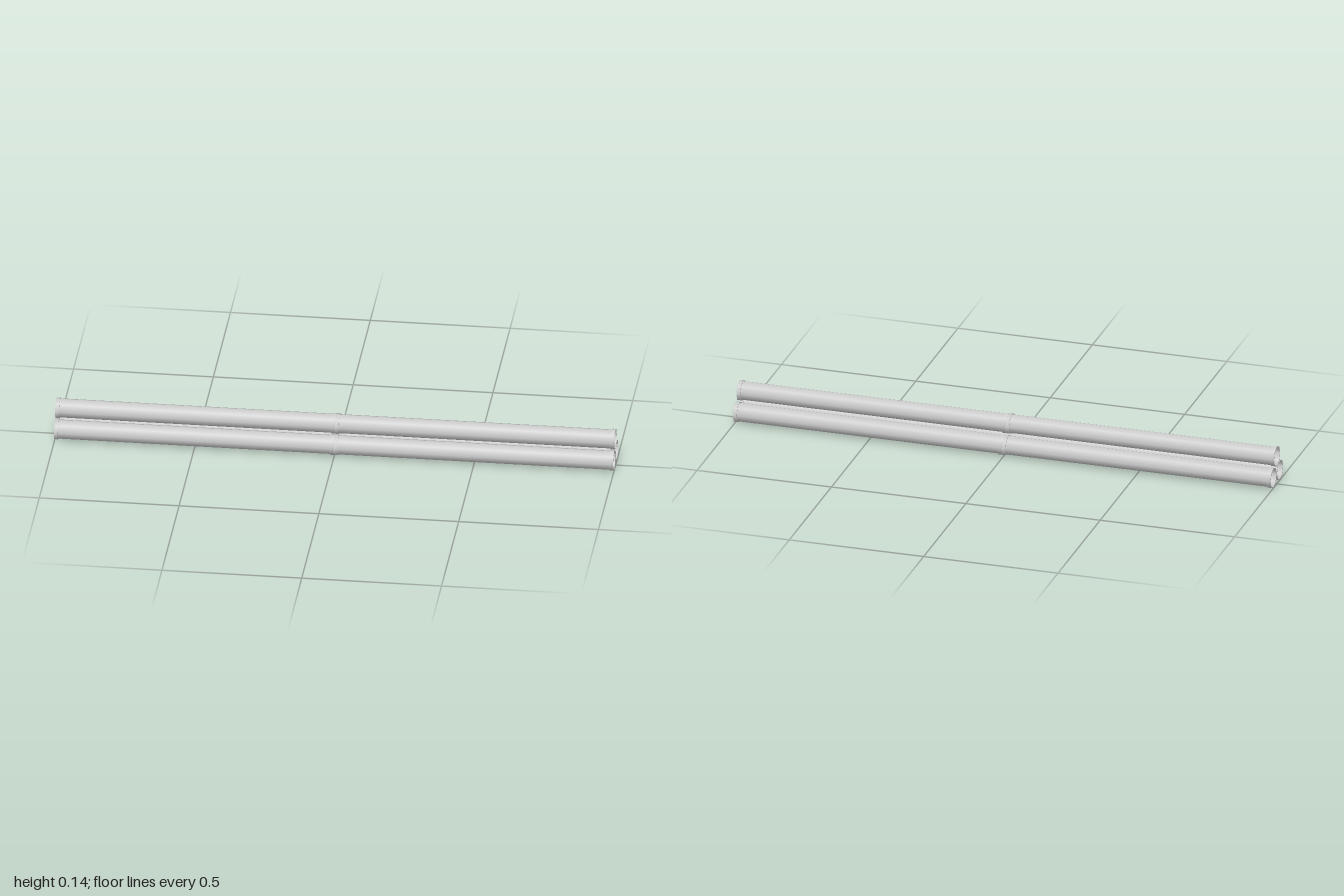
import * as THREE from 'three';
import { toCreasedNormals } from 'three/addons/utils/BufferGeometryUtils.js';

const SIDES = 8;
const RIM = 0.0385;    // outer radius of the flanges
const PIPE = 0.0355;   // outer radius of the pipe
const BORE = 0.0345;   // inner radius
const LIP = 0.014;     // flange width

// One hollow pipe length along x with a flange at each end
function pipeGeometry(length) {
  const h = length / 2;
  const profile = [
    [BORE, -h], [RIM, -h], [RIM, -h + LIP], [PIPE, -h + LIP],
    [PIPE, h - LIP], [RIM, h - LIP], [RIM, h], [BORE, h], [BORE, -h],
  ].map(([r, y]) => new THREE.Vector2(r, y));
  const geometry = new THREE.LatheGeometry(profile, SIDES);
  geometry.rotateZ(-Math.PI / 2);
  return toCreasedNormals(geometry, Math.PI / 3);
}

export function createModel() {
  const model = new THREE.Group();
  model.name = 'pipeStack';
  const material = new THREE.MeshStandardMaterial({ color: 0xcccccc });
  const geometry = pipeGeometry(1);

  // Two pipes side by side with a third resting on top
  const rows = [
    ['frontPipe', 0.0385, 0.0385],
    ['backPipe', 0.0385, -0.0385],
    ['topPipe', 0.105, 0.003],
  ];
  for (const [name, y, z] of rows) {
    const row = new THREE.Group();
    row.name = name;
    row.position.set(0, y, z);
    // Two lengths joined flange to flange
    for (const side of [-1, 1]) {
      const pipe = new THREE.Mesh(geometry, material);
      pipe.name = side > 0 ? 'leftLength' : 'rightLength';
      pipe.position.x = side * 0.5;
      row.add(pipe);
    }
    model.add(row);
  }
  return model;
}
